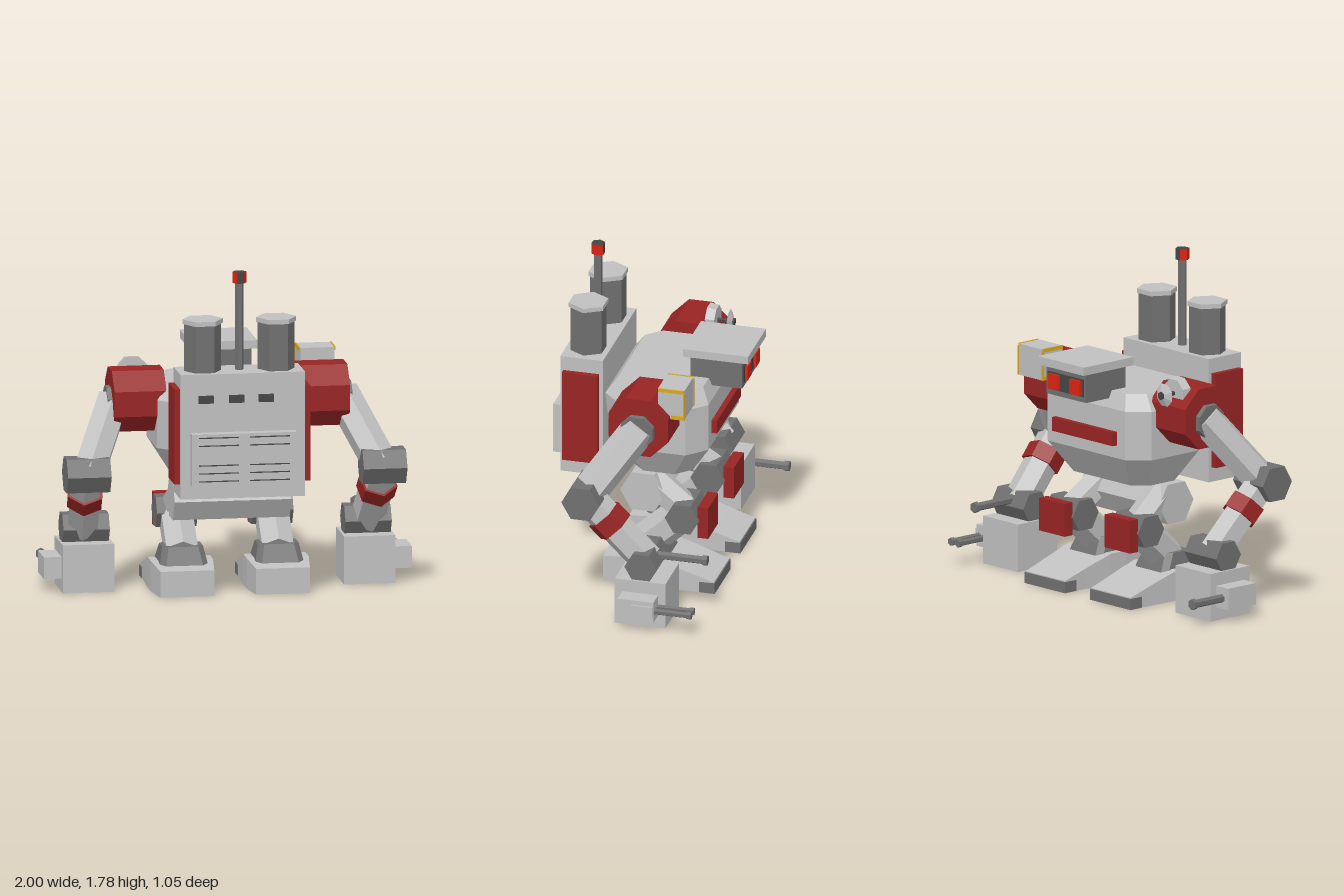
import * as THREE from 'three';

const mat = (name, color) => Object.assign(new THREE.MeshStandardMaterial({ color }), { name });
const light = mat('light grey', 0xc0c0c0);
const dark = mat('dark grey', 0x707070);
const black = mat('charcoal', 0x454545);
const red = mat('dark red', 0x982424);
const glow = mat('bright red', 0xdd2412);
const yellow = mat('hazard yellow', 0xd8a81c);

// Faceted mesh: every face gets its own normals
function facet(name, material, geometry) {
  const groups = geometry.groups.slice();
  const g = geometry.index ? geometry.toNonIndexed() : geometry;
  g.computeVertexNormals();
  g.groups = Array.isArray(material) ? groups : [];
  const mesh = new THREE.Mesh(g, material);
  mesh.name = name;
  return mesh;
}

// Box from its limits on each axis
function box(name, m, x0, x1, y0, y1, z0, z1) {
  const mesh = facet(name, m, new THREE.BoxGeometry(Math.abs(x1 - x0), y1 - y0, z1 - z0));
  mesh.position.set((x0 + x1) / 2, (y0 + y1) / 2, (z0 + z1) / 2);
  return mesh;
}

// Prism or tapered limb between two points
function prism(name, m, from, to, r0, r1 = r0, sides = 6, roll = 0) {
  const a = new THREE.Vector3(...from), b = new THREE.Vector3(...to);
  const d = b.clone().sub(a);
  const g = new THREE.CylinderGeometry(r1, r0, d.length(), sides).rotateY(roll);
  const mesh = facet(name, m, g);
  mesh.position.copy(a).add(b).multiplyScalar(0.5);
  mesh.quaternion.setFromUnitVectors(new THREE.Vector3(0, 1, 0), d.normalize());
  return mesh;
}

// Closed solid through rings that run counter-clockwise seen from the last ring
function loft(name, m, rings) {
  const n = rings[0].length, last = (rings.length - 1) * n, index = [];
  for (let r = 0; r < rings.length - 1; r++) {
    for (let i = 0; i < n; i++) {
      const a = r * n + i, b = r * n + (i + 1) % n;
      index.push(a, b, b + n, a, b + n, a + n);
    }
  }
  for (let i = 1; i < n - 1; i++) index.push(0, i + 1, i, last, last + i, last + i + 1);
  const g = new THREE.BufferGeometry();
  g.setAttribute('position', new THREE.Float32BufferAttribute(rings.flat(2), 3));
  g.setIndex(index);
  return facet(name, m, g);
}

// Horizontal rectangle with cut corners
const cutRing = (y, w, z0, z1, c, x = 0) => [
  [w - c, z1], [w, z1 - c], [w, z0 + c], [w - c, z0],
  [c - w, z0], [-w, z0 + c], [-w, z1 - c], [c - w, z1],
].map(([px, pz]) => [px + x, y, pz]);

function buildTorso() {
  const g = new THREE.Group();
  g.name = 'torso';
  g.add(loft('hull', light, [
    cutRing(0.62, 0.3, -0.23, 0.1, 0.08),
    cutRing(0.79, 0.405, -0.34, 0.2, 0.1),
    cutRing(1.055, 0.405, -0.34, 0.23, 0.1),
    cutRing(1.14, 0.345, -0.3, 0.17, 0.08),
  ]));
  g.add(box('chestStrip', red, -0.24, 0.24, 0.86, 0.935, -0.37, -0.33));
  g.add(prism('pelvis', light, [-0.315, 0.5, 0.02], [0.315, 0.5, 0.02], 0.125));
  return g;
}

function buildHead() {
  const g = new THREE.Group();
  g.name = 'head';
  g.add(box('skull', dark, -0.155, 0.155, 1.1, 1.26, -0.485, -0.2));
  g.add(box('headPlate', light, -0.18, 0.18, 1.26, 1.305, -0.525, -0.165));
  g.add(box('visor', black, -0.14, 0.14, 1.13, 1.225, -0.491, -0.484));
  for (const s of [-1, 1]) g.add(box('eye', glow, s * 0.045, s * 0.125, 1.137, 1.217, -0.507, -0.485));
  return g;
}

function buildBackpack() {
  const g = new THREE.Group();
  g.name = 'backpack';
  g.add(box('packBody', light, -0.335, 0.335, 0.58, 1.255, 0.235, 0.47));
  g.add(box('ventPanel', light, -0.282, 0.282, 0.66, 0.94, 0.46, 0.525));
  for (const x of [-0.2, -0.035, 0.125]) g.add(box('window', black, x - 0.04, x + 0.04, 1.1, 1.14, 0.46, 0.49));
  for (const s of [-1, 1]) {
    g.add(box('sidePanel', red, s * 0.33, s * 0.367, 0.66, 1.175, 0.255, 0.453));
    for (const y of [0.92, 0.877, 0.77, 0.727, 0.684]) {
      g.add(box('ventSlot', black, s * 0.03, s * 0.245, y - 0.003, y + 0.003, 0.52, 0.527));
    }
    // Exhaust stacks
    const x = s * 0.198;
    g.add(prism('stack', dark, [x, 1.25, 0.352], [x, 1.51, 0.352], 0.1, 0.1, 6, Math.PI / 6));
    g.add(prism('stackCap', light, [x, 1.51, 0.352], [x, 1.535, 0.352], 0.109, 0.109, 6, Math.PI / 6));
  }
  // Antenna, its lamp red on the four side faces
  g.add(prism('antenna', dark, [0, 1.25, 0.353], [0, 1.73, 0.353], 0.023, 0.023, 6, Math.PI / 6));
  const lamp = new THREE.CylinderGeometry(0.038, 0.038, 0.06, 6);
  lamp.rotateY(Math.PI / 6).translate(0, 1.755, 0.353).clearGroups();
  for (let i = 0; i < 6; i++) lamp.addGroup(i * 6, 6, i % 3 === 2 ? 1 : 0);
  lamp.addGroup(36, 36, 1);
  g.add(facet('antennaLamp', [glow, black], lamp));
  return g;
}

function buildArm(s) {
  const g = new THREE.Group();
  g.name = s > 0 ? 'leftArm' : 'rightArm';
  const p = (x, y, z) => [s * x, y, z];
  g.add(prism('shoulder', red, p(0.355, 1.035, -0.043), p(0.635, 1.035, -0.043), 0.178, 0.178, 8, Math.PI / 8));
  g.add(prism('shoulderSocket', dark, p(0.6, 1.015, -0.04), p(0.66, 1.015, -0.04), 0.105, 0.095, 8, Math.PI / 8));
  g.add(prism('upperArm', light, p(0.615, 1.03, -0.05), p(0.79, 0.68, 0.2), 0.095));
  g.add(prism('elbow', dark, p(0.68, 0.68, 0.2), p(0.915, 0.68, 0.2), 0.105));
  g.add(prism('forearm', light, p(0.8, 0.68, 0.2), p(0.765, 0.33, -0.125), 0.092));
  g.add(prism('armBand', red, p(0.79, 0.577, 0.105), p(0.783, 0.507, 0.04), 0.106));
  g.add(prism('wrist', dark, p(0.635, 0.33, -0.125), p(0.885, 0.33, -0.125), 0.09));
  g.add(box('fist', light, s * 0.62, s * 0.897, 0, 0.26, -0.265, 0.015));
  g.add(box('gunPod', light, s * 0.897, s * 0.993, 0.072, 0.19, -0.225, -0.027));
  // Barrels pointing along -z
  const barrel = (x, y, r, z0, z1) => {
    g.add(prism('barrel', dark, p(x, y, z0), p(x, y, z1), r));
    g.add(prism('muzzle', dark, p(x, y, z1 + 0.025), p(x, y, z1), r * 1.3));
  };
  if (s > 0) {
    g.add(box('podCover', light, 0.99, 1.003, 0.1, 0.165, -0.22, -0.105));
    barrel(0.917, 0.13, 0.017, -0.2, -0.43);
    barrel(0.972, 0.13, 0.017, -0.2, -0.43);
    barrel(0.757, 0.36, 0.023, -0.15, -0.46);
  } else {
    barrel(0.943, 0.13, 0.023, -0.2, -0.445);
  }
  return g;
}

function buildLeg(s) {
  const g = new THREE.Group();
  g.name = s > 0 ? 'leftLeg' : 'rightLeg';
  const x = s * 0.258;
  // Wedge foot: z, half width, height
  g.add(loft('foot', light, [[-0.4, 0.155, 0.065], [-0.26, 0.16, 0.11], [-0.08, 0.168, 0.165], [0.03, 0.168, 0.165], [0.215, 0.145, 0.14]]
    .map(([z, w, h]) => [[x + w, 0, z], [x + w, h, z], [x - w, h, z], [x - w, 0, z]])));
  g.add(box('toe', dark, x - 0.16, x + 0.16, 0, 0.06, -0.405, -0.32));
  g.add(loft('ankle', dark, [cutRing(0.15, 0.13, -0.13, 0.13, 0.03, x), cutRing(0.245, 0.11, -0.08, 0.08, 0.03, x)]));
  g.add(prism('shin', light, [x, 0.2, 0.01], [x, 0.39, -0.2], 0.098));
  g.add(prism('knee', dark, [x - 0.11, 0.39, -0.21], [x + 0.11, 0.39, -0.21], 0.095));
  g.add(prism('thigh', light, [x - s * 0.03, 0.56, 0.01], [x, 0.4, -0.21], 0.085));
  g.add(box('kneePlate', red, x - 0.1, x + 0.1, 0.29, 0.47, -0.353, -0.295));
  return g;
}

// Launcher on the left shoulder, dish on the right one
function buildShoulderGear() {
  const g = new THREE.Group();
  g.name = 'shoulderGear';
  g.add(box('launcher', light, 0.408, 0.592, 1.09, 1.26, -0.285, -0.14));
  for (const x of [0.405, 0.595]) {
    g.add(box('hazardTopTrim', yellow, x - 0.004, x + 0.004, 1.244, 1.263, -0.283, -0.143));
    g.add(box('hazardLowTrim', yellow, x - 0.004, x + 0.004, 1.09, 1.112, -0.288, -0.215));
    g.add(box('hazardFrontTrim', yellow, x - 0.004, x + 0.004, 1.1, 1.25, -0.288, -0.28));
  }
  g.add(prism('dishBase', light, [-0.5, 1.165, -0.12], [-0.5, 1.165, -0.17], 0.088, 0.08, 8, Math.PI / 8));
  g.add(prism('dishStem', black, [-0.5, 1.165, -0.17], [-0.5, 1.165, -0.245], 0.013));
  g.add(prism('dish', light, [-0.5, 1.165, -0.235], [-0.5, 1.165, -0.255], 0.065, 0.022, 8, Math.PI / 8));
  g.add(prism('dishTip', black, [-0.5, 1.165, -0.25], [-0.5, 1.165, -0.265], 0.022));
  return g;
}

export function createModel() {
  const body = new THREE.Group();
  body.name = 'walker';
  body.add(buildTorso(), buildHead(), buildBackpack(), buildShoulderGear());
  for (const s of [-1, 1]) body.add(buildArm(s), buildLeg(s));
  body.position.x = -0.007;
  const model = new THREE.Group();
  model.name = 'walkingMachine';
  model.add(body);
  return model;
}
